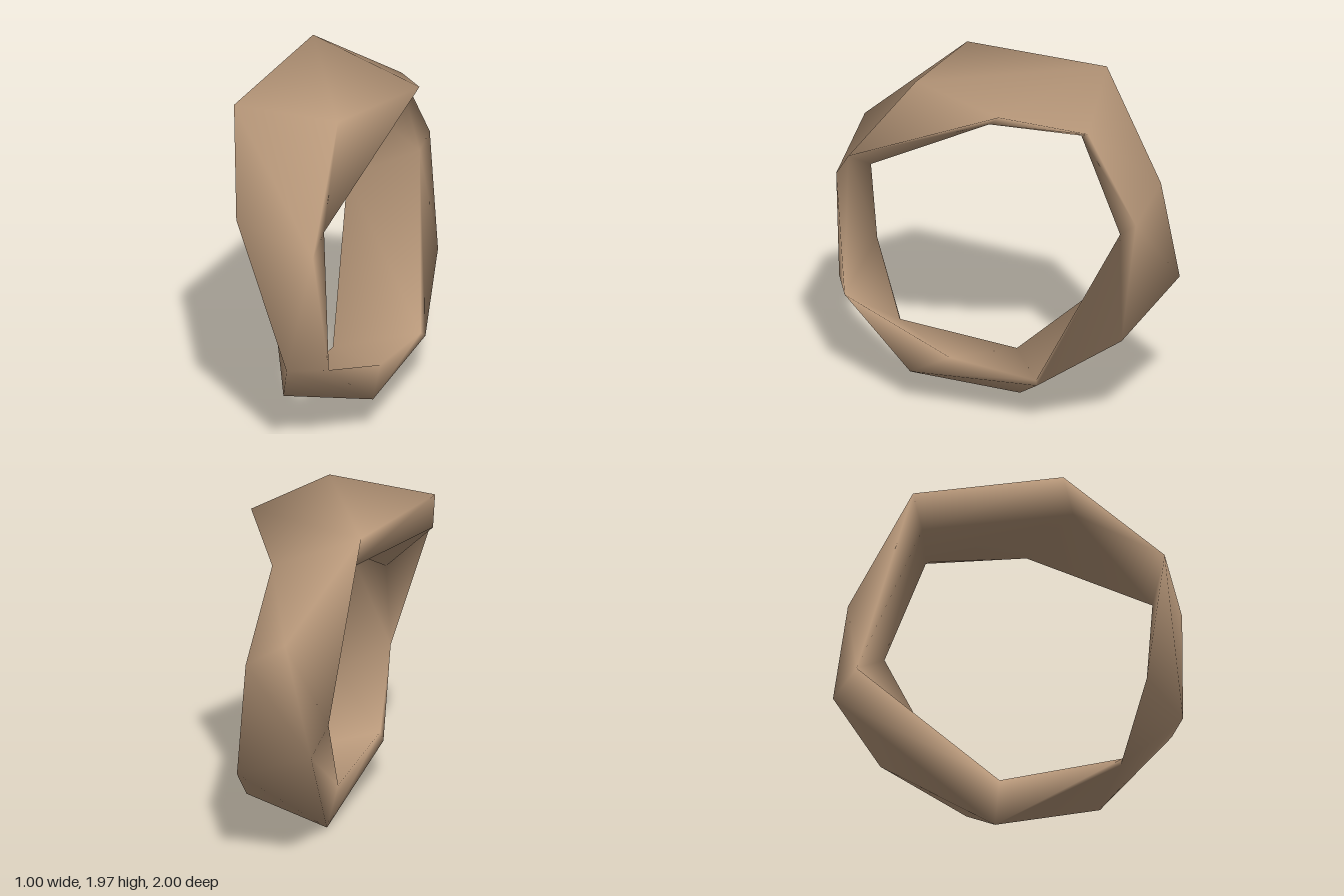
import * as THREE from 'three';

// Twisted low-poly ring: a closed chain of cross-sections, each with five
// corners: outer left, outer ridge, outer right, inner right, inner left.
// Corners that coincide collapse the section to four or three sides.
const topFront = [[-0.5, 1.906, 0.345], [0.13, 1.925, 0.51], [0.5, 1.92, -0.05], [0.05, 1.66, 0.1], [-0.48, 1.68, 0.4]];
const topBack = [[-0.2, 1.97, -0.53], [-0.2, 1.97, -0.53], [0.31, 1.775, -0.53], [0.31, 1.765, -0.49], [-0.14, 1.77, -0.48]];
const backUpper = [[0.18, 1.45, -0.925], [0.18, 1.45, -0.925], [0.42, 1.28, -0.83], [0.38, 1.2, -0.73], [-0.06, 0.95, -0.86]];
const backLower = [[0.02, 0.8, -1], [0.02, 0.8, -1], [0.48, 0.58, -0.76], [0.38, 1.2, -0.73], [-0.06, 0.95, -0.86]];
const bottom = [[0.06, 0, -0.08], [0.06, 0, -0.08], [0.495, 0.26, -0.27], [0.47, 0.28, -0.26], [0, 0.25, -0.05]];
const frontBottom = [[-0.16, 0.25, 0.65], [0.33, 0.2, 0.5], [0.33, 0.2, 0.5], [0.33, 0.31, 0.27], [-0.14, 0.3, 0.66]];
const frontLower = [[-0.08, 0.57, 1], [-0.08, 0.57, 1], [0.15, 0.56, 0.92], [0.15, 0.56, 0.92], [-0.18, 0.78, 0.8]];
const frontUpper = [[-0.385, 1.455, 0.915], [0.07, 1.28, 0.985], [0.12, 1.415, 0.905], [0.12, 1.415, 0.905], [-0.15, 1.25, 0.83]];

const sections = [topFront, topBack, backUpper, backLower, bottom, frontBottom, frontLower, frontUpper];

function ringGeometry() {
  const positions = [], index = [], ids = new Map();

  // Share coincident corners so the shading stays smooth
  const corner = (p) => {
    const key = p.join();
    if (!ids.has(key)) {
      ids.set(key, positions.length / 3);
      positions.push(...p);
    }
    return ids.get(key);
  };
  const triangle = (a, b, c) => {
    if (a !== b && b !== c && c !== a) index.push(a, b, c);
  };

  sections.forEach((section, i) => {
    const next = sections[(i + 1) % sections.length];
    for (let j = 0; j < 5; j++) {
      const k = (j + 1) % 5;
      const [a, b, c, d] = [section[j], section[k], next[k], next[j]].map(corner);
      // The left front face folds along its other diagonal
      if (section === frontLower && j === 4) {
        triangle(a, b, c);
        triangle(a, c, d);
      } else {
        triangle(a, b, d);
        triangle(b, c, d);
      }
    }
  });

  const geometry = new THREE.BufferGeometry();
  geometry.setAttribute('position', new THREE.Float32BufferAttribute(positions, 3));
  geometry.setIndex(index);
  geometry.computeVertexNormals();
  return geometry;
}

export function createModel() {
  const tan = new THREE.MeshStandardMaterial({ color: 0xb8987a, side: THREE.DoubleSide });
  tan.name = 'tan';

  const ring = new THREE.Mesh(ringGeometry(), tan);
  ring.name = 'twistedRing';

  const model = new THREE.Group();
  model.name = 'facetedRing';
  model.add(ring);
  return model;
}
